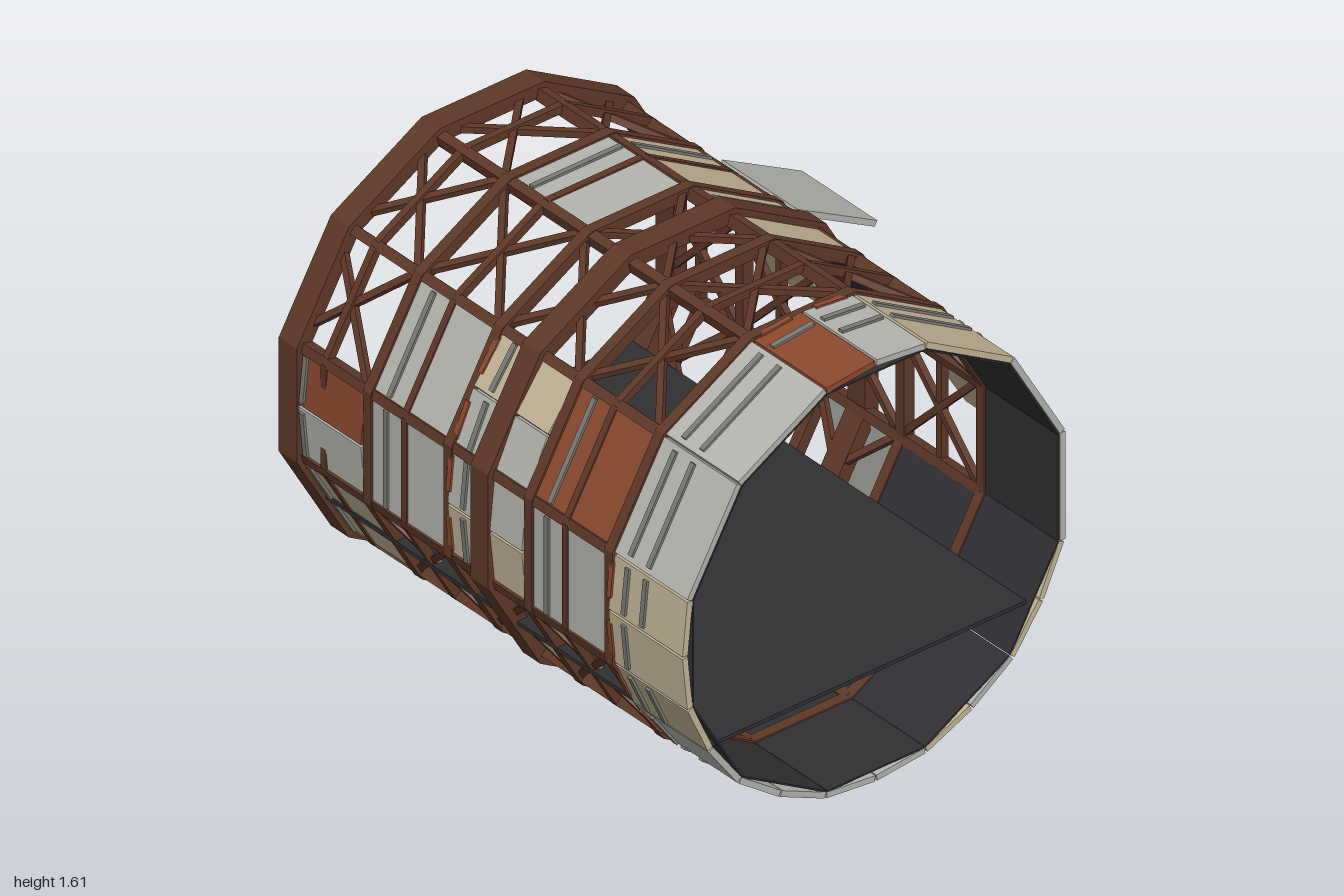
import * as THREE from 'three';

const CY = 0.805, CZ = 0.095, SIDES = 12, COS15 = Math.cos(Math.PI / 12);
const mat = (color) => new THREE.MeshStandardMaterial({ color, flatShading: true });
const FRAME = mat(0x5f3828), STRIP = mat(0x7c7c76), DARK = mat(0x303034);
const PANEL = { G: mat(0xb4b5ae), T: mat(0xc4b596), R: mat(0x8c4a2e) };

// Covering of each face, counted from the front upward; five bays from right to left.
// '.' is open lattice, one letter a full panel, two letters a pair of half panels.
const FACES = [
  ['GR', 'G', 'TG', 'G', 'TT'],
  ['.', 'G', 'GT', 'R', 'G'],
  ['.', '.', '.', '.', 'G'],
  ['.', 'G', '.', '.', 'RG'],
  ['.', 'T', 'T', '.', 'T'],
  ['.', '.', 'G', '.', 'G'],
  ['.', '.', '.', '.', 'G'],
  ['.', '.', '.', 'G', 'TT'],
  ['G', 'T', 'G', 'T', 'GT'],
  ['RG', 'GT', 'R', 'G', 'GG'],
  ['GT', 'T', 'GT', 'T', 'GG'],
  ['T', '.', '.', '.', 'GT'],
];

function box(parent, name, material, size, pos, rot = [0, 0, 0]) {
  const m = new THREE.Mesh(new THREE.BoxGeometry(...size), material);
  m.name = name;
  m.position.set(...pos);
  m.rotation.set(...rot);
  parent.add(m);
  return m;
}

// Twelve-sided hoop between two x positions
function hoop(parent, name, x0, x1, outer, inner) {
  const poly = (apothem) => Array.from({ length: SIDES }, (_, i) => {
    const a = (i + 0.5) * Math.PI / 6, r = apothem / COS15;
    return new THREE.Vector2(r * Math.cos(a), r * Math.sin(a));
  });
  const shape = new THREE.Shape(poly(outer));
  shape.holes.push(new THREE.Path(poly(inner)));
  const geo = new THREE.ExtrudeGeometry(shape, { depth: x1 - x0, bevelEnabled: false });
  geo.rotateY(Math.PI / 2);
  const m = new THREE.Mesh(geo, FRAME);
  m.name = name;
  m.position.set(x0, CY, CZ);
  parent.add(m);
}

// Group whose local y points outward at an angle measured from the front upward
function spoke(parent, name, angle) {
  const g = new THREE.Group();
  g.name = name;
  g.position.set(0, CY, CZ);
  g.rotation.x = Math.PI / 2 - angle;
  parent.add(g);
  return g;
}

// Crossed braces of an open bay
function lattice(parent, x) {
  const w = 0.38, h = 0.39, tilt = Math.atan2(h, w);
  for (const s of [-1, 1])
    box(parent, 'crossBrace', FRAME, [Math.hypot(w, h), 0.024, 0.024], [x, 0.765, 0], [0, s * tilt, 0]);
}

// Outer skin, seam strip and dark lining of a closed bay
function cladding(parent, code, x, last) {
  const px = x + 0.016, w = 0.368;
  box(parent, 'lining', DARK, [w, 0.006, 0.4], [px, 0.754, 0]);
  if (code.length === 1) {
    box(parent, 'panel', PANEL[code], [w, 0.022, 0.408], [px, 0.77, 0]);
    box(parent, 'seamStrip', STRIP, [0.02, 0.012, 0.37], [x - 0.09, 0.784, 0]);
    if (last) box(parent, 'seamStrip', STRIP, [0.02, 0.012, 0.37], [x, 0.784, 0]);
    return;
  }
  [...code].forEach((c, i) => {
    const s = i ? -1 : 1;
    const half = new THREE.Group();
    half.name = 'halfPanel';
    half.position.set(px, 0.777, s * 0.103);
    half.rotation.x = s * 0.1;
    parent.add(half);
    box(half, 'panel', PANEL[c], [w, 0.022, 0.2], [0, 0, 0]);
    box(half, 'seamStrip', STRIP, [0.02, 0.012, 0.17], [-0.106, 0.014, 0]);
    box(half, 'rustTab', PANEL.R, [0.02, 0.012, 0.13], [-0.182, 0.012, s * 0.01]);
    if (last && i) box(half, 'seamStrip', STRIP, [0.02, 0.012, 0.17], [-0.016, 0.014, 0]);
  });
}

// Loose panel hanging between two [z, y] points
function flap(parent, material, x, [z0, y0], [z1, y1]) {
  const dz = z1 - z0, dy = y1 - y0;
  box(parent, 'loosePanel', material, [0.375, 0.022, Math.hypot(dz, dy)],
    [x, (y0 + y1) / 2, (z0 + z1) / 2], [Math.atan2(-dy, dz), 0, 0]);
}

export function createModel() {
  const model = new THREE.Group();
  model.name = 'cylindricalHull';

  // Main hoops and lighter ribs
  hoop(model, 'mainHoop', -1, -0.91, 0.805, 0.75);
  hoop(model, 'mainHoop', -0.045, 0.042, 0.805, 0.75);
  for (const x of [-0.6, -0.2, 0.2, 0.6]) hoop(model, 'rib', x, x + 0.04, 0.789, 0.745);

  FACES.forEach((bays, k) => {
    const a = k * Math.PI / 6;
    // Longeron along the corner after this face
    box(spoke(model, 'corner', a + Math.PI / 12), 'longeron', FRAME, [1.6, 0.042, 0.036], [-0.18, 0.79, 0]);
    const face = spoke(model, 'face', a);
    bays.forEach((code, b) => {
      const x = -0.8 + 0.4 * b;
      if (code === '.') lattice(face, x);
      else cladding(face, code, x, b === 4);
      if (b < 4) box(face, 'midStrut', FRAME, [0.026, 0.03, 0.4], [x, 0.772, 0]);
    });
  });

  // Deck inside the hull
  box(model, 'deck', DARK, [1.96, 0.014, 1.32], [0, 0.41, 0.12]);

  // Panels broken loose at the back
  flap(model, PANEL.G, -0.29, [-0.49, 1.365], [-0.82, 1.185]);
  flap(model, PANEL.T, -0.555, [-0.68, 1.02], [-0.885, 0.685]);
  flap(model, PANEL.T, 0.465, [-0.68, 1.02], [-0.885, 0.685]);
  flap(model, PANEL.G, -0.015, [-0.68, 0.6], [-0.73, 0.205]);

  return model;
}
